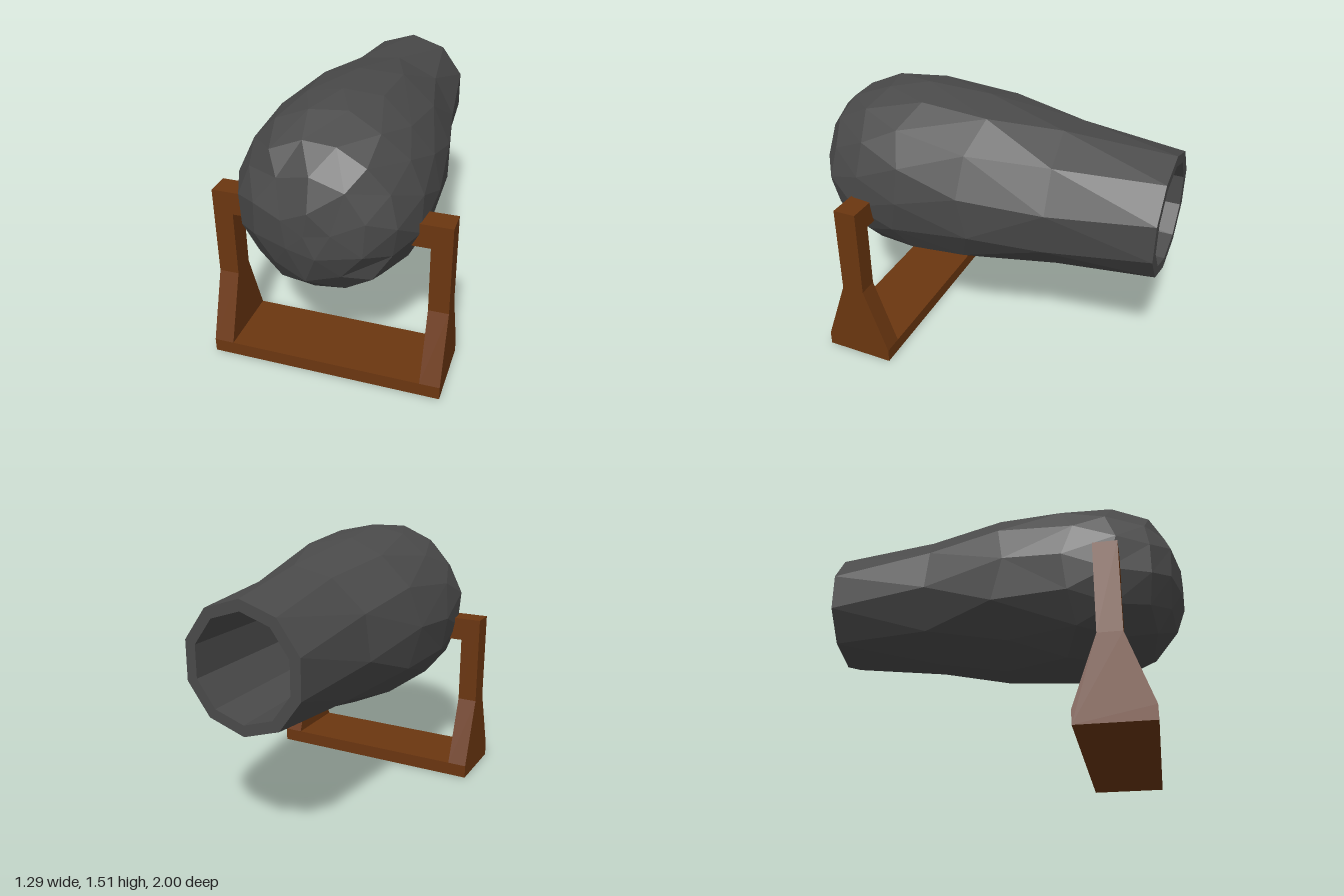
import * as THREE from 'three';

const AXIS_Y = 1.007;

// Barrel rings from the breech pole to the muzzle and back into the bore: [z, radius, sides, turn, jitter]
const RINGS = [
  [1.0, 0, 1, 0, 0],
  [0.99, 0.13, 5, 0.1, 0.01],
  [0.93, 0.29, 10, 0.4, 0.015],
  [0.82, 0.41, 15, 0.1, 0.015],
  [0.62, 0.49, 16, 0.5, 0.03],
  [0.38, 0.507, 16, 0.0, 0.04],
  [0.0, 0.482, 13, 0.4, 0.04],
  [-0.43, 0.398, 10, 0.25, 0.02],
  [-1.0, 0.34, 10, 0.5, 0],
  [-1.0, 0.28, 10, 0.5, 0],
  [0.3, 0.27, 10, 0.5, 0],
  [0.3, 0, 1, 0, 0],
];

// Point k of a ring, with a small regular unevenness along the barrel
function ringPoint([z, r, n, turn, jitter], k) {
  const a = ((k + turn) / n) * Math.PI * 2;
  const dz = jitter * Math.sin((k % n) * 2.4 + n);
  return [r * Math.cos(a), r * Math.sin(a), z + dz];
}

// Joins neighbouring rings that may have different numbers of sides
function stitchRings(rings) {
  const pos = [];
  for (let s = 0; s < rings.length - 1; s++) {
    const A = rings[s], B = rings[s + 1];
    const nA = A[2] > 1 ? A[2] : 0, nB = B[2] > 1 ? B[2] : 0;
    let i = 0, j = 0;
    while (i < nA || j < nB) {
      const nextA = (i + 1 + A[3]) / A[2], nextB = (j + 1 + B[3]) / B[2];
      const stepA = i < nA && (j >= nB || nextA <= nextB);
      pos.push(...ringPoint(A, i), ...ringPoint(B, j));
      if (stepA) pos.push(...ringPoint(A, ++i));
      else pos.push(...ringPoint(B, ++j));
    }
  }
  const g = new THREE.BufferGeometry();
  g.setAttribute('position', new THREE.Float32BufferAttribute(pos, 3));
  g.computeVertexNormals();
  return g;
}

export function createModel() {
  const group = new THREE.Group();
  const iron = new THREE.MeshStandardMaterial({ color: 0x4a4a4a, flatShading: true });
  const wood = new THREE.MeshStandardMaterial({ color: 0x6b3610, flatShading: true });

  const add = (name, geometry, material, x, y, z) => {
    const mesh = new THREE.Mesh(geometry, material);
    mesh.name = name;
    mesh.position.set(x, y, z);
    group.add(mesh);
    return mesh;
  };

  // Faceted barrel with its hollow bore
  add('barrel', stitchRings(RINGS), iron, 0, AXIS_Y, 0);

  // Base beam between the two uprights
  const zMid = 0.597;
  add('baseBeam', new THREE.BoxGeometry(1.07, 0.077, 0.4), wood, 0, 0.0385, zMid);

  // Upright outline: wide foot tapering into a narrow post
  const half = [[0.2, 0], [0.2, 0.077], [0.065, 0.46], [0.065, 0.97]];
  const outline = [...half, ...half.map(([w, y]) => [-w, y]).reverse()];
  const shape = new THREE.Shape(outline.map(([w, y]) => new THREE.Vector2(w, y)));
  const upright = new THREE.ExtrudeGeometry(shape, { depth: 0.11, bevelEnabled: false });
  upright.translate(0, 0, -0.055).rotateY(Math.PI / 2);

  for (const [side, s] of [['left', 1], ['right', -1]]) {
    add(side + 'Upright', upright, wood, s * 0.59, 0, zMid);
    // Short arm holding the barrel
    add(side + 'SupportArm', new THREE.BoxGeometry(0.135, 0.132, 0.13), wood, s * 0.4675, 0.904, zMid);
  }

  return group;
}
